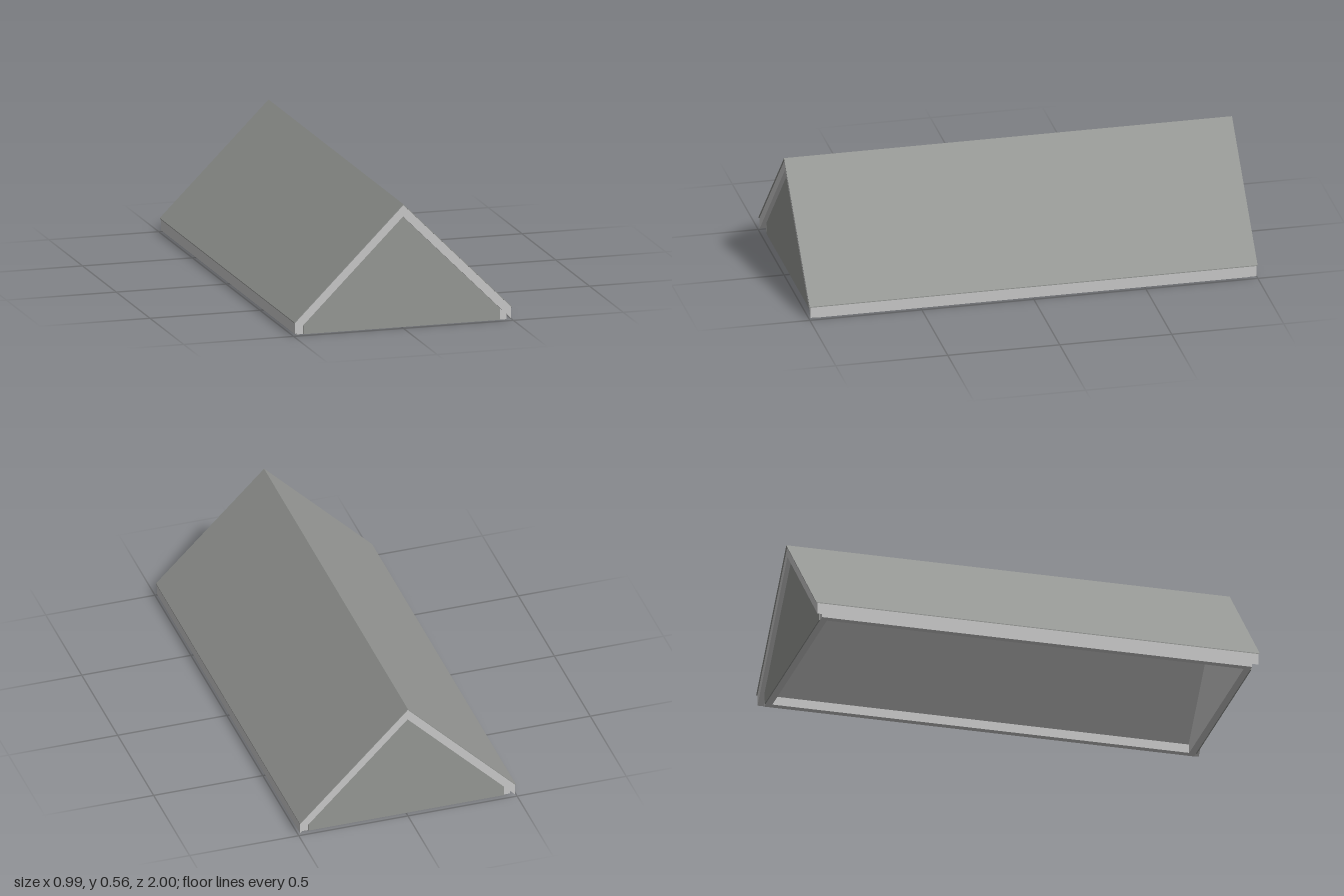
import * as THREE from 'three';

// Prism along z, centred on zc, from a cross-section in x and y
function prism(name, points, depth, zc, material) {
  const shape = new THREE.Shape(points.map(([x, y]) => new THREE.Vector2(x, y)));
  const geometry = new THREE.ExtrudeGeometry(shape, { depth, bevelEnabled: false });
  geometry.translate(0, 0, zc - depth / 2);
  const mesh = new THREE.Mesh(geometry, material);
  mesh.name = name;
  return mesh;
}

// Inverted V with 45 degree slopes, cut upright at the eaves
function chevron(halfWidth, top, bottom) {
  return [
    [-halfWidth, bottom - halfWidth], [0, bottom], [halfWidth, bottom - halfWidth],
    [halfWidth, top - halfWidth], [0, top], [-halfWidth, top - halfWidth],
  ];
}

// House outline: low side walls rising to a 45 degree gable
function gable(halfWidth, peak) {
  return [
    [-halfWidth, 0], [halfWidth, 0], [halfWidth, peak - halfWidth],
    [0, peak], [-halfWidth, peak - halfWidth],
  ];
}

export function createModel() {
  const trim = new THREE.MeshStandardMaterial({ color: 0xc8c8c8 });
  trim.name = 'light grey trim';
  const slate = new THREE.MeshStandardMaterial({ color: 0x959794 });
  slate.name = 'slate grey';

  const roof = new THREE.Group();
  roof.name = 'gableRoof';

  // Roof slab with its thin outer covering
  roof.add(prism('roofSlab', chevron(0.492, 0.552, 0.5), 1.99, 0, trim));
  roof.add(prism('roofCovering', chevron(0.495, 0.556, 0.552), 2, 0, slate));

  // Low walls under the eaves
  for (const side of [1, -1]) {
    const wall = new THREE.Mesh(new THREE.BoxGeometry(0.03, 0.04, 1.94), trim);
    wall.name = side > 0 ? 'leftEaveWall' : 'rightEaveWall';
    wall.position.set(side * 0.463, 0.02, 0);
    roof.add(wall);
  }

  // Gable walls, each with a slate panel on the outside
  for (const end of [1, -1]) {
    const label = end > 0 ? 'front' : 'back';
    roof.add(prism(label + 'GableWall', gable(0.478, 0.505), 0.03, end * 0.955, trim));
    roof.add(prism(label + 'GablePanel', gable(0.448, 0.502), 0.005, end * 0.9725, slate));
  }
  return roof;
}
